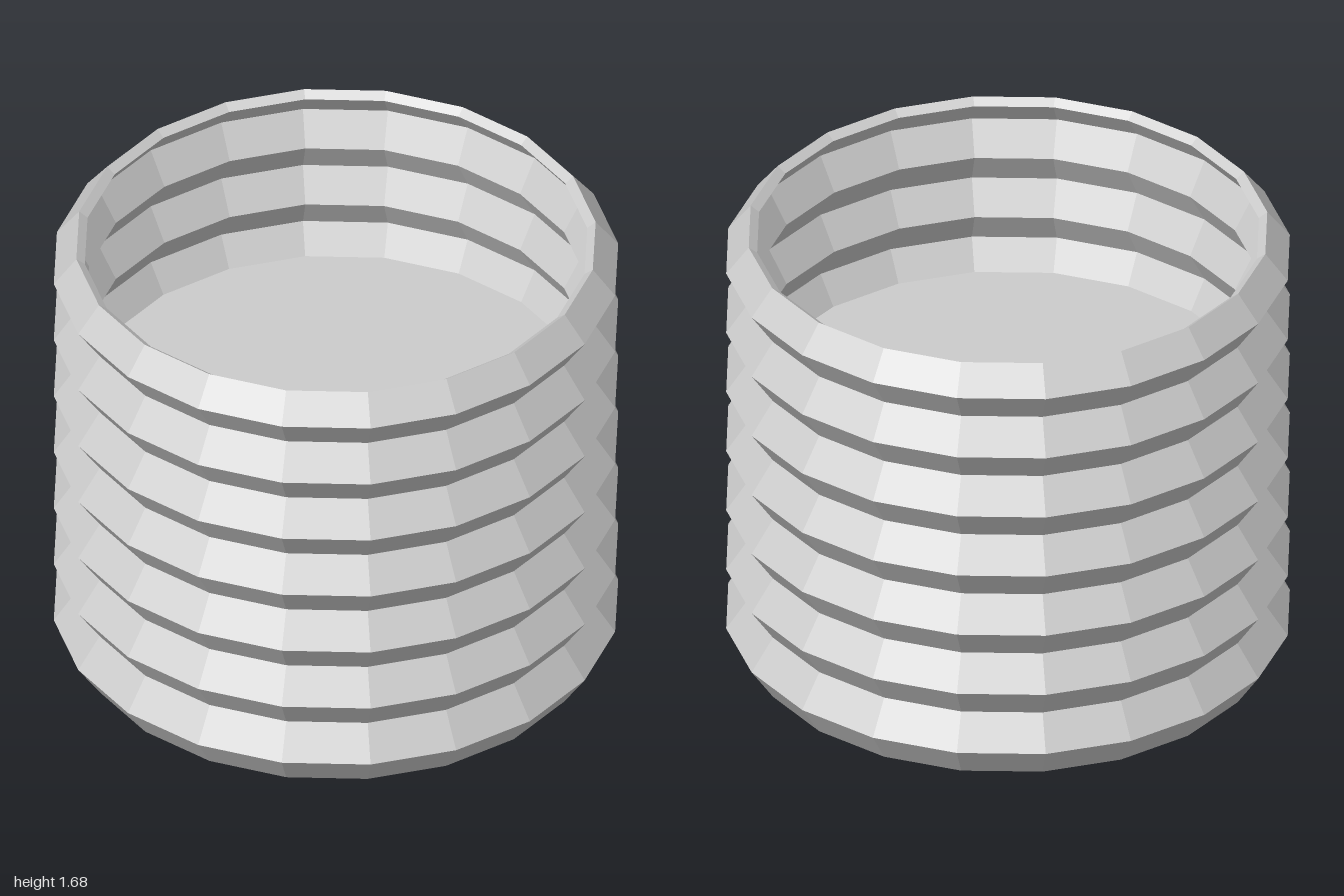
import * as THREE from 'three';

const SIDES = 20, FOLDS = 7, PITCH = 0.2425;
const TOP = 1.677, FLOOR = 0.975;
const PEAK = 1, VALLEY = 0.917;            // outer radii
const IN_PEAK = 0.955, IN_VALLEY = 0.885;  // inner radii
const DROP = 0.01;                         // inner folds sit slightly lower

export function createModel() {
  const group = new THREE.Group();
  group.name = 'ribbedCup';
  const material = new THREE.MeshStandardMaterial({ color: 0xcccccc, flatShading: true });
  const lathe = (name, points) => {
    const geometry = new THREE.LatheGeometry(points.map(([r, y]) => new THREE.Vector2(r, y)), SIDES);
    const mesh = new THREE.Mesh(geometry, material);
    mesh.name = name;
    group.add(mesh);
  };

  // Pleated outer wall, from the base edge up to the rim
  const outer = [];
  for (let i = 0; i < FOLDS; i++) {
    outer.push([VALLEY, i * PITCH], [PEAK, (i + 0.5) * PITCH]);
  }
  outer.push([0.92, TOP]);
  lathe('outerWall', outer);

  // Thin rim sloping down towards the inside
  const rimInner = [0.89, TOP - 0.023];
  lathe('rim', [[0.92, TOP], rimInner]);

  // Pleated inner wall, from the rim down to the raised floor
  const inner = [rimInner];
  for (let i = FOLDS - 1; i * PITCH > FLOOR; i--) {
    inner.push([IN_PEAK, (i + 0.5) * PITCH - DROP], [IN_VALLEY, i * PITCH - DROP]);
  }
  inner.push([IN_PEAK, 4.5 * PITCH - DROP], [0.89, FLOOR]);
  lathe('innerWall', inner);

  // Raised floor and flat base
  lathe('floor', [[0.89, FLOOR], [0, FLOOR]]);
  lathe('base', [[0, 0], [VALLEY, 0]]);
  return group;
}
